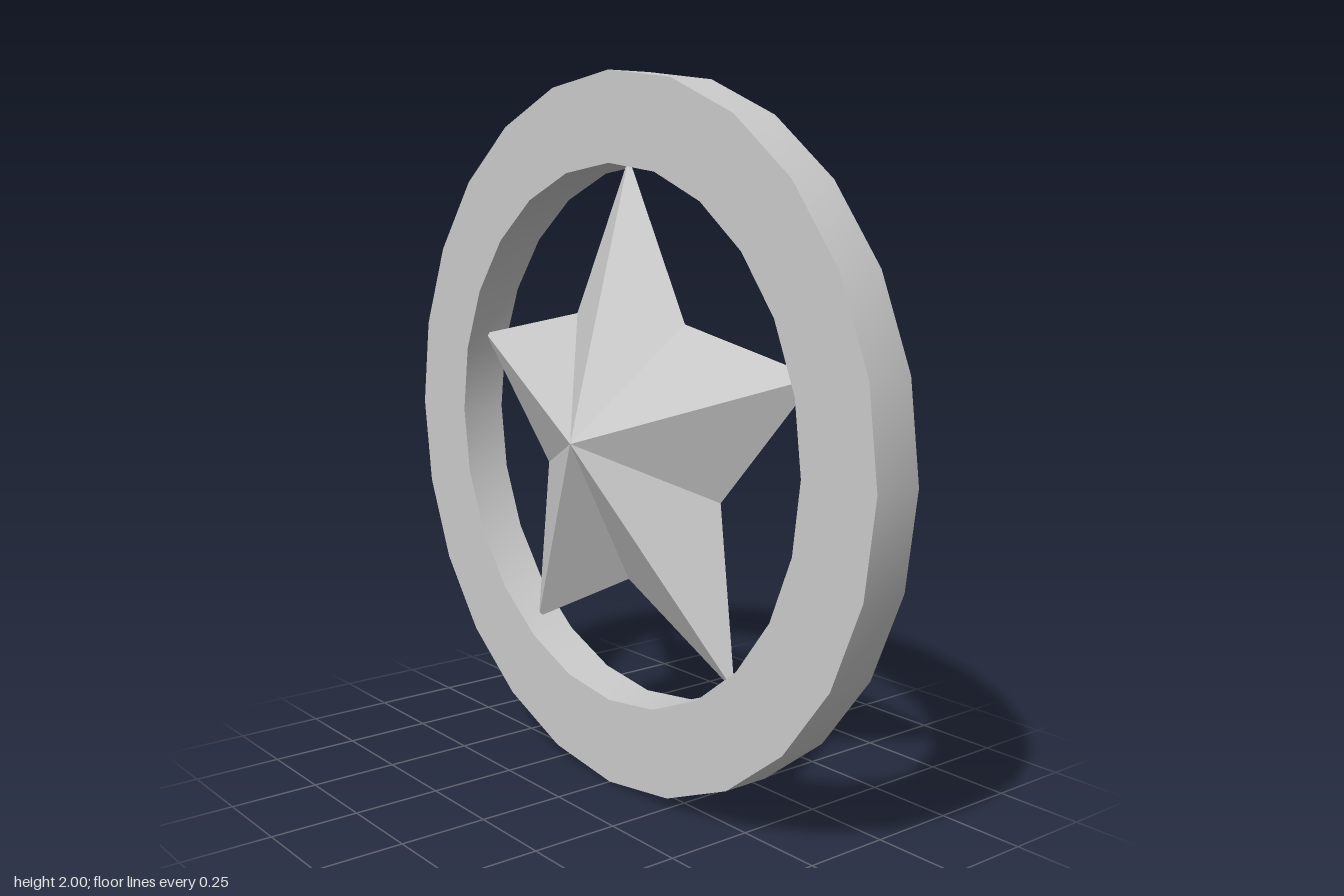
import * as THREE from 'three';
import { toCreasedNormals } from 'three/addons/utils/BufferGeometryUtils.js';

const SIDES = 24, RING_OUTER = 1, RING_INNER = 0.755, RING_DEPTH = 0.14;
const STAR_TIP = 0.77, STAR_VALLEY = 0.41, STAR_PEAK = 0.203;

// Point at angle a, measured counter-clockwise from the top
const polar = (r, a) => new THREE.Vector2(-r * Math.sin(a), r * Math.cos(a));

const polygon = (r) =>
  Array.from({ length: SIDES }, (_, i) => polar(r, (i / SIDES) * Math.PI * 2));

// Flat-faced band with smooth inner and outer walls
function ringGeometry() {
  const shape = new THREE.Shape(polygon(RING_OUTER));
  shape.holes.push(new THREE.Path(polygon(RING_INNER)));
  const geometry = new THREE.ExtrudeGeometry(shape, { depth: RING_DEPTH, bevelEnabled: false });
  geometry.translate(0, 0, -RING_DEPTH / 2);
  return toCreasedNormals(geometry, Math.PI / 6);
}

// Ten-point outline joined to a peak in front and a peak behind
function starGeometry() {
  const outline = Array.from({ length: 10 }, (_, i) =>
    polar(i % 2 ? STAR_VALLEY : STAR_TIP, (i * Math.PI) / 5));
  const positions = [];
  outline.forEach((a, i) => {
    const b = outline[(i + 1) % 10];
    positions.push(0, 0, STAR_PEAK, a.x, a.y, 0, b.x, b.y, 0);
    positions.push(0, 0, -STAR_PEAK, b.x, b.y, 0, a.x, a.y, 0);
  });
  const geometry = new THREE.BufferGeometry();
  geometry.setAttribute('position', new THREE.Float32BufferAttribute(positions, 3));
  geometry.computeVertexNormals();
  return geometry;
}

export function createModel() {
  const group = new THREE.Group();
  group.name = 'starInRing';

  const ring = new THREE.Mesh(ringGeometry(), new THREE.MeshStandardMaterial({ color: 0xcccccc }));
  ring.name = 'ring';
  const star = new THREE.Mesh(
    starGeometry(),
    new THREE.MeshStandardMaterial({ color: 0xcccccc, flatShading: true }));
  star.name = 'star';

  for (const part of [ring, star]) {
    part.position.y = RING_OUTER;
    group.add(part);
  }
  return group;
}
